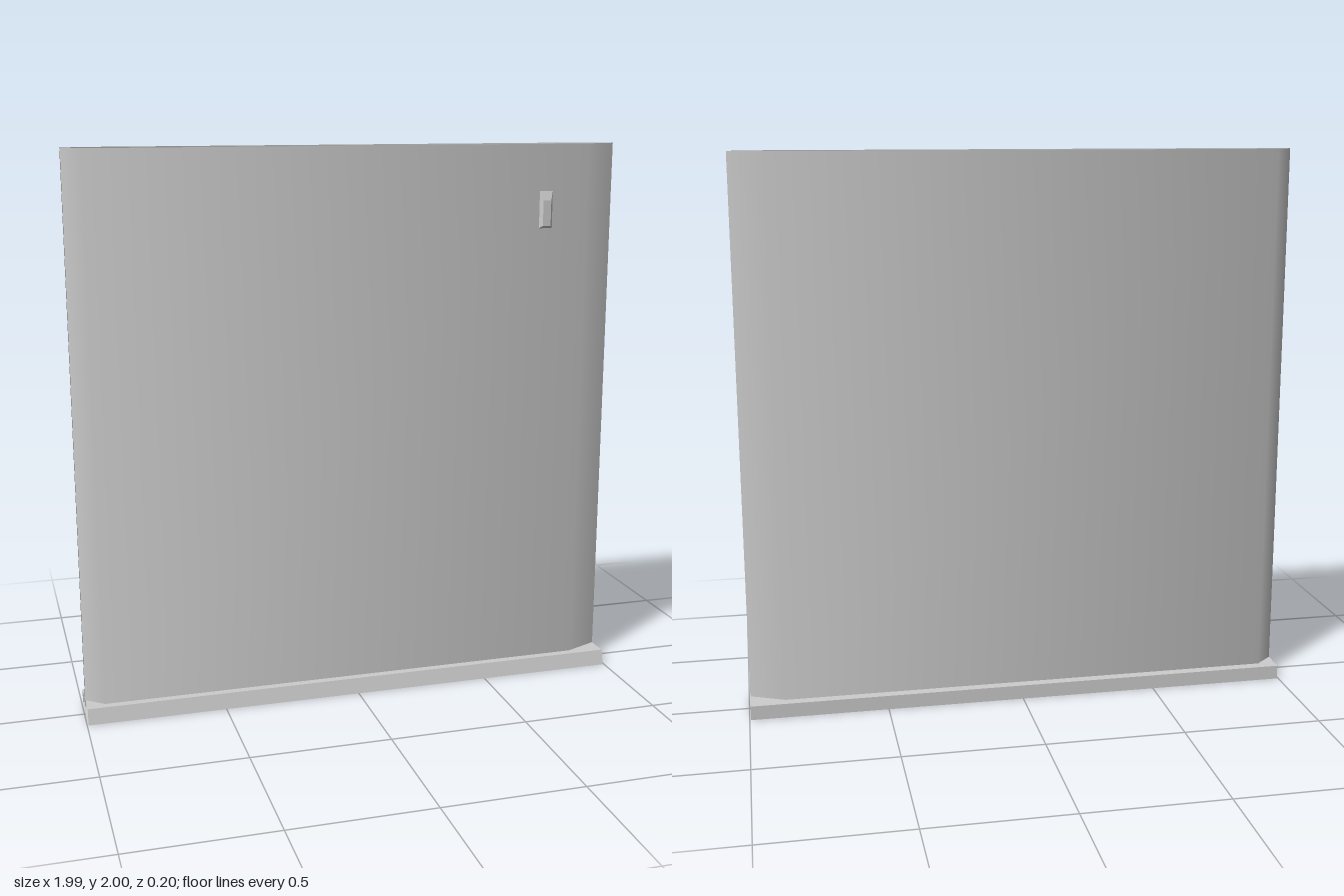
import * as THREE from 'three';

const grey = new THREE.MeshStandardMaterial({ color: 0xcccccc, side: THREE.DoubleSide });
grey.name = 'light grey';

// Upright sheet that follows a path of [x, z] points, shaded smoothly along the path
function uprightSheet(path, y0, y1) {
  const segmentNormals = path.slice(1).map(([x, z], i) =>
    new THREE.Vector2(path[i][1] - z, x - path[i][0]).normalize());
  const position = [], normal = [], index = [];
  path.forEach(([x, z], i) => {
    const a = segmentNormals[Math.max(i - 1, 0)];
    const b = segmentNormals[Math.min(i, segmentNormals.length - 1)];
    const n = a.clone().add(b).normalize();
    for (const y of [y0, y1]) {
      position.push(x, y, z);
      normal.push(n.x, 0, n.y);
    }
    if (i > 0) {
      const k = 2 * i;
      index.push(k - 2, k, k + 1, k - 2, k + 1, k - 1);
    }
  });
  const g = new THREE.BufferGeometry();
  g.setAttribute('position', new THREE.Float32BufferAttribute(position, 3));
  g.setAttribute('normal', new THREE.Float32BufferAttribute(normal, 3));
  g.setIndex(index);
  return g;
}

// Flat-sided skin joining equal-length loops of [x, y, z] points; loops run anticlockwise seen from +z
function skin(loops, capFront) {
  const position = [];
  const quad = (a, b, c, d) => position.push(...a, ...b, ...c, ...a, ...c, ...d);
  for (let k = 1; k < loops.length; k++) {
    const back = loops[k - 1], front = loops[k];
    back.forEach((p, i) => {
      const j = (i + 1) % back.length;
      quad(p, back[j], front[j], front[i]);
    });
  }
  if (capFront) quad(...loops[loops.length - 1]);
  const g = new THREE.BufferGeometry();
  g.setAttribute('position', new THREE.Float32BufferAttribute(position, 3));
  g.computeVertexNormals();
  return g;
}

export function createModel() {
  const model = new THREE.Group();
  const add = (name, geometry) => {
    const mesh = new THREE.Mesh(geometry, grey);
    mesh.name = name;
    model.add(mesh);
  };

  // Hollow panel: two bent sheets, open at the top, with a narrow slot at each end
  const front = [[-0.995, 0], [-0.93, 0.055], [0.87, 0.055], [0.995, 0]];
  const back = front.map(([x, z]) => [x, -0.015 - z]).reverse();
  add('panelFront', uprightSheet(front, 0.025, 2));
  add('panelBack', uprightSheet(back, 0.025, 2));

  // Base channel: a tube with a sloping front and open ends
  const section = [[0, 0.1], [0, -0.105], [0.052, -0.105], [0.055, 0.085]];
  add('baseChannel', skin([0.995, -0.995].map(x => section.map(([y, z]) => [x, y, z])), false));

  // Small tapered catch on the front
  const rect = (x0, x1, y0, y1, z) => [[x0, y0, z], [x1, y0, z], [x1, y1, z], [x0, y1, z]];
  add('catch', skin([
    rect(0.682, 0.745, 1.695, 1.855, 0.01),
    rect(0.682, 0.745, 1.695, 1.855, 0.048),
    rect(0.699, 0.729, 1.71, 1.8, 0.066),
  ], true));

  return model;
}
